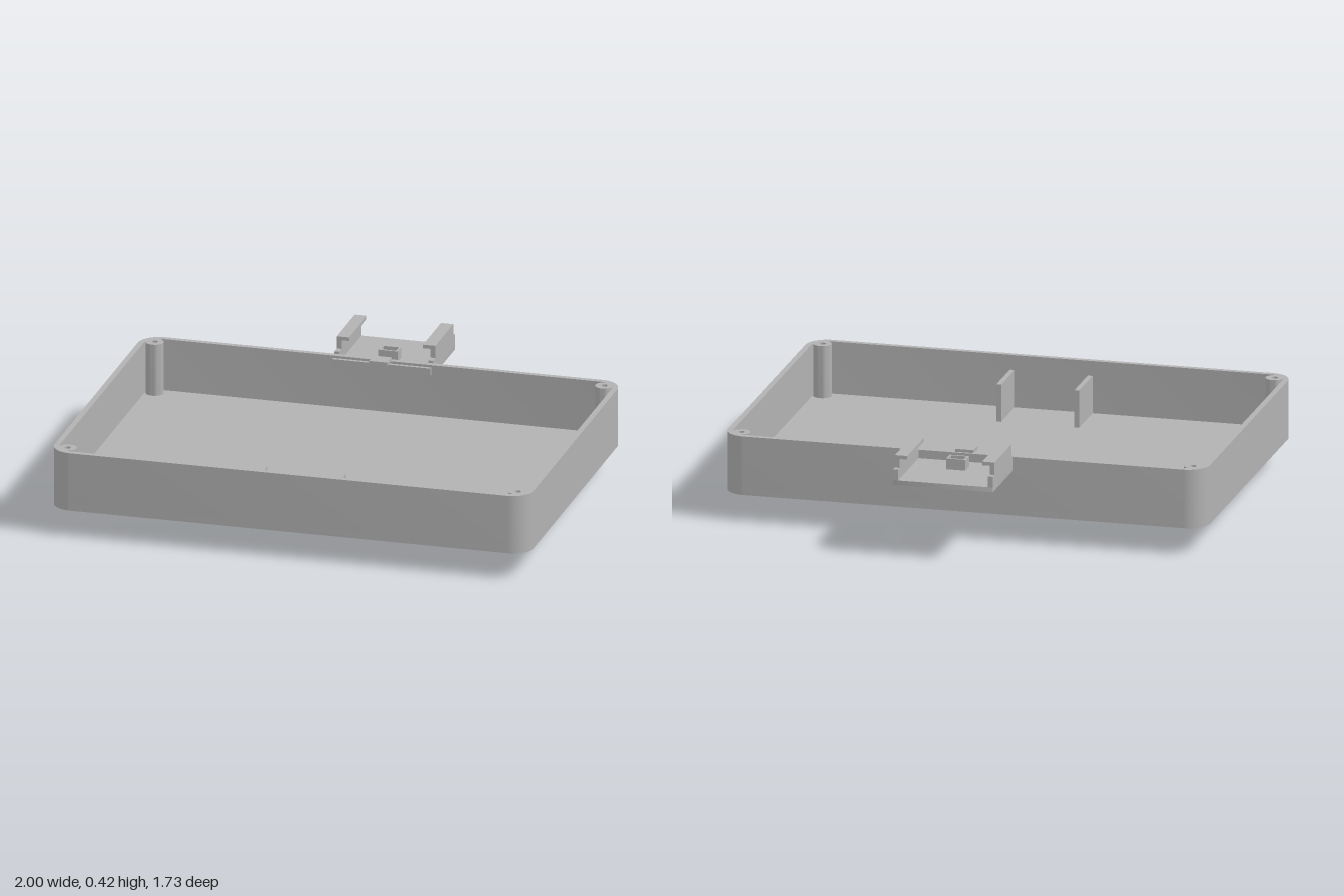
import * as THREE from 'three';
import { toCreasedNormals } from 'three/addons/utils/BufferGeometryUtils.js';

const BOTTOM = 0.11, FLOOR = 0.137, RIM = 0.355, MID_Z = 0.1625, HALF_Z = 0.7025;

// Rounded rectangle centred on the origin; also used for holes
function roundedRect(PathType, hw, hd, r) {
  const p = new PathType();
  p.moveTo(hw, -hd + r);
  p.lineTo(hw, hd - r);
  p.absarc(hw - r, hd - r, r, 0, Math.PI / 2);
  p.absarc(-hw + r, hd - r, r, Math.PI / 2, Math.PI);
  p.absarc(-hw + r, -hd + r, r, Math.PI, Math.PI * 1.5);
  p.absarc(hw - r, -hd + r, r, Math.PI * 1.5, Math.PI * 2);
  return p;
}

function circle(PathType, r) {
  const p = new PathType();
  p.absarc(0, 0, r, 0, Math.PI * 2);
  return p;
}

function extrude(shape, depth) {
  const g = new THREE.ExtrudeGeometry(shape, { depth, bevelEnabled: false, curveSegments: 14 });
  return toCreasedNormals(g, 0.6);
}

export function createModel() {
  const model = new THREE.Group();
  model.name = 'trayWithClip';
  const grey = new THREE.MeshStandardMaterial({ color: 0xb2b2b2 });
  grey.name = 'plainGrey';

  function add(name, geometry, parent = model) {
    const mesh = new THREE.Mesh(geometry, grey);
    mesh.name = name;
    parent.add(mesh);
    return mesh;
  }
  // Box given by its lower and upper limits on each axis
  function box(name, x0, x1, y0, y1, z0, z1, parent = model) {
    const g = new THREE.BoxGeometry(x1 - x0, y1 - y0, z1 - z0);
    g.translate((x0 + x1) / 2, (y0 + y1) / 2, (z0 + z1) / 2);
    return add(name, g, parent);
  }
  // Flat outline raised upward from y0 to y1
  function raise(name, shape, x, z, y0, y1, parent = model) {
    const g = extrude(shape, y1 - y0);
    g.rotateX(-Math.PI / 2);
    g.translate(x, y0, z);
    return add(name, g, parent);
  }

  // Open tray: floor and continuous wall
  const tray = new THREE.Group();
  tray.name = 'tray';
  model.add(tray);
  raise('floor', roundedRect(THREE.Shape, 1, HALF_Z, 0.09), 0, MID_Z, BOTTOM, FLOOR, tray);
  const wall = roundedRect(THREE.Shape, 1, HALF_Z, 0.09);
  wall.holes.push(roundedRect(THREE.Path, 0.977, HALF_Z - 0.023, 0.067));
  raise('wall', wall, 0, MID_Z, FLOOR, RIM, tray);

  // Screw posts in the corners
  for (const sx of [-1, 1]) {
    for (const sz of [-1, 1]) {
      const post = circle(THREE.Shape, 0.037);
      post.holes.push(circle(THREE.Path, 0.013));
      raise('screwPost', post, sx * 0.938, MID_Z + sz * 0.641, FLOOR, RIM, tray);
    }
  }

  for (const s of [-1, 1]) {
    // Dividers against the front wall
    const x = s * 0.163;
    box('divider', x - 0.01, x + 0.01, FLOOR, 0.293, 0.63, 0.843, tray);

    // Round-ended lugs under the floor
    const r = 0.048;
    const outline = new THREE.Shape();
    outline.moveTo(r, BOTTOM);
    outline.lineTo(-r, BOTTOM);
    outline.lineTo(-r, r);
    outline.absarc(0, r, r, Math.PI, Math.PI * 2);
    const hole = new THREE.Path();
    hole.absarc(0, 0.052, 0.018, 0, Math.PI * 2);
    outline.holes.push(hole);
    const lug = extrude(outline, 0.053);
    lug.rotateY(Math.PI / 2);
    lug.translate(s * 0.247 - 0.0265, 0, -0.056);
    add('lug', lug);
  }

  // Ledge and latch tab on the inside of the back wall
  box('ledge', -0.206, 0.206, 0.315, 0.345, -0.525, -0.503, tray);
  box('latchTab', -0.038, 0.038, 0.352, 0.367, -0.53, -0.466, tray);

  // Clip bracket behind the tray
  const bracket = new THREE.Group();
  bracket.name = 'bracket';
  model.add(bracket);
  const plate = roundedRect(THREE.Shape, 0.206, 0.1625, 0.001);
  const slot = new THREE.Path();
  slot.moveTo(-0.032, -0.0875);
  slot.lineTo(0.032, -0.0875);
  slot.lineTo(0.032, -0.0475);
  slot.lineTo(-0.032, -0.0475);
  slot.closePath();
  plate.holes.push(slot);
  raise('bracketPlate', plate, 0, -0.7025, 0.3, 0.32, bracket);

  // Hollow socket around the slot
  const [sz0, sz1] = [-0.663, -0.607];
  for (const s of [-1, 1]) {
    box('socketSide', s * 0.036 - 0.004, s * 0.036 + 0.004, 0.32, 0.365, sz0, sz1, bracket);
  }
  box('socketBack', -0.032, 0.032, 0.32, 0.365, sz0, -0.655, bracket);
  box('socketFront', -0.032, 0.032, 0.32, 0.365, -0.615, sz1, bracket);

  // Side rails with inward lips
  for (const s of [-1, 1]) {
    const span = (a, b) => (s > 0 ? [a, b] : [-b, -a]);
    box('lowRail', ...span(0.186, 0.206), 0.32, 0.365, -0.865, -0.54, bracket);
    box('highRail', ...span(0.186, 0.206), 0.365, 0.417, -0.838, -0.575, bracket);
    box('railLip', ...span(0.155, 0.186), 0.402, 0.417, -0.838, -0.575, bracket);
  }
  return model;
}
